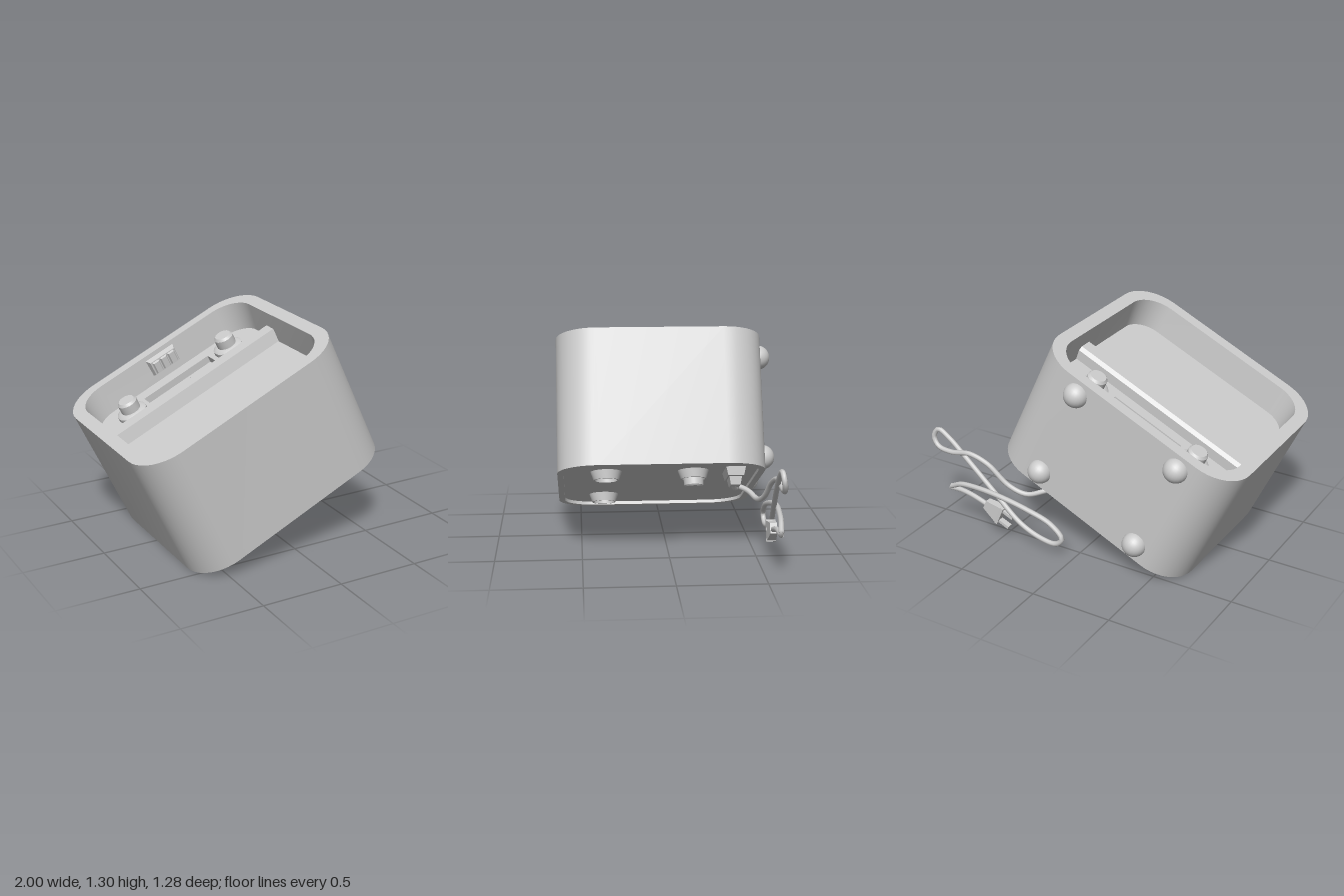
import * as THREE from 'three';
import { toCreasedNormals } from 'three/addons/utils/BufferGeometryUtils.js';

const mat = new THREE.MeshStandardMaterial({ color: 0xcccccc });

function add(parent, name, geo, x = 0, y = 0, z = 0) {
  const m = new THREE.Mesh(geo, mat);
  m.name = name;
  m.position.set(x, y, z);
  parent.add(m);
  return m;
}

// rounded rectangle in the x-z plane, running from +x towards +z
function roundedLoop(hx, z0, z1, r, n = 10) {
  const pts = [];
  const centres = [[hx - r, z1 - r], [r - hx, z1 - r], [r - hx, z0 + r], [hx - r, z0 + r]];
  centres.forEach(([cx, cz], k) => {
    for (let i = 0; i <= n; i++) {
      const t = (k + i / n) * Math.PI / 2;
      pts.push([cx + r * Math.cos(t), cz + r * Math.sin(t)]);
    }
  });
  return pts;
}

// skin through levels of [height, half width, z0, z1, corner radius]
function loft(levels) {
  const pos = [], idx = [];
  const loops = levels.map(([, ...a]) => roundedLoop(...a));
  const n = loops[0].length;
  loops.forEach((l, k) => l.forEach(([x, z]) => pos.push(x, levels[k][0], z)));
  for (let k = 0; k < loops.length - 1; k++) {
    for (let i = 0; i < n; i++) {
      const j = (i + 1) % n, p = k * n, q = p + n;
      idx.push(p + i, q + i, p + j, p + j, q + i, q + j);
    }
  }
  const g = new THREE.BufferGeometry();
  g.setAttribute('position', new THREE.Float32BufferAttribute(pos, 3));
  g.setIndex(idx);
  return toCreasedNormals(g, 0.5);
}

// turned part along y; sharp edges kept
function lathe(profile, seg = 28) {
  const g = new THREE.LatheGeometry(profile.map(p => new THREE.Vector2(...p)), seg);
  g.deleteAttribute('normal');
  g.deleteAttribute('uv');
  return toCreasedNormals(g, 0.5);
}

// block tapering from base (y = 0) to top (y = h)
function taperedBox(w, d, h, sx, sz) {
  const g = new THREE.BoxGeometry(w, h, d).translate(0, h / 2, 0).toNonIndexed();
  const p = g.attributes.position;
  for (let i = 0; i < p.count; i++) {
    if (p.getY(i) > h / 2) p.setXYZ(i, p.getX(i) * sx, h, p.getZ(i) * sz);
  }
  g.computeVertexNormals();
  return g;
}

export function createModel() {
  const root = new THREE.Group();
  root.name = 'tableRadio';
  const radio = new THREE.Group();
  radio.name = 'radio';
  radio.position.set(-0.22, 0.65, 0);
  radio.rotation.z = THREE.MathUtils.degToRad(25);
  root.add(radio);

  // cabinet: sunken back, outer wall, rim and face recess
  const T = 0.4025;
  add(radio, 'cabinet', loft([
    [-T + 0.02, 0.001, 0.034, 0.036, 0.0005],
    [-T + 0.02, 0.632, -0.53, 0.602, 0.2],
    [-T, 0.632, -0.53, 0.602, 0.2],
    [-T, 0.6735, -0.568, 0.638, 0.235],
    [T, 0.6735, -0.568, 0.638, 0.235],
    [T, 0.596, -0.5, 0.562, 0.18],
    [0.175, 0.573, -0.48, 0.537, 0.15],
    [0.175, 0.001, 0.034, 0.036, 0.0005],
  ]));

  // face panel with a dial opening
  const face = new THREE.Shape(roundedLoop(0.576, -0.483, 0.54, 0.15).map(([x, z]) => new THREE.Vector2(x, -z)));
  const hole = new THREE.Path();
  hole.moveTo(-0.24, 0.25).lineTo(0.24, 0.25).lineTo(0.24, 0.4).lineTo(-0.24, 0.4).closePath();
  face.holes.push(hole);
  const faceGeo = new THREE.ExtrudeGeometry(face, { depth: 0.044, bevelEnabled: false }).rotateX(-Math.PI / 2);
  add(radio, 'facePanel', faceGeo, 0, 0.176, 0);
  add(radio, 'dialNeedle', taperedBox(0.02, 0.012, 0.11, 0.3, 1).rotateX(-Math.PI / 2), 0.07, 0.185, -0.25);

  // divider bar across the face
  const bar = new THREE.Shape([[-0.18, 0.2], [-0.06, 0.2], [-0.06, 0.22], [-0.08, 0.3], [-0.16, 0.3], [-0.18, 0.28]]
    .map(p => new THREE.Vector2(...p)));
  add(radio, 'dividerBar', new THREE.ExtrudeGeometry(bar, { depth: 1.17, bevelEnabled: false })
    .translate(0, 0, -0.585).rotateY(-Math.PI / 2));

  // knobs
  const knob = lathe([[0.092, 0], [0.092, 0.022], [0.075, 0.034], [0.06, 0.036], [0.06, 0.09], [0.048, 0.105], [0, 0.105]]);
  for (const s of [-1, 1]) add(radio, 'knob', knob, s * 0.36, 0.22, -0.325);

  // ribbed switch on the recess wall
  add(radio, 'switchPlate', taperedBox(0.2, 0.11, 0.035, 0.88, 0.8).rotateX(Math.PI / 2), 0, 0.32, -0.497);
  for (let i = -1; i <= 1; i++) {
    add(radio, 'switchRib', taperedBox(0.05, 0.08, 0.016, 0.7, 0.85).rotateX(Math.PI / 2), i * 0.055, 0.32, -0.464);
  }

  // ball feet
  const ball = new THREE.SphereGeometry(0.073, 24, 16);
  for (const x of [-0.35, 0.35]) for (const y of [-0.305, 0.305]) add(radio, 'ballFoot', ball, x, y, -0.565);

  // hollow rings and control knob on the back
  const ring = lathe([[0.092, 0], [0.074, 0.05], [0.066, 0.05], [0.062, 0.01], [0, 0.01]]).rotateX(Math.PI);
  for (const [x, z] of [[-0.365, 0.355], [0.365, 0.355], [0.365, -0.155]]) add(radio, 'backRing', ring, x, -0.382, z);
  const backKnob = lathe([[0.062, 0], [0.056, 0.085], [0.048, 0.093], [0, 0.093]]).rotateX(Math.PI);
  add(radio, 'backKnob', backKnob, 0.365, -0.385, -0.155);

  // power inlet
  add(radio, 'inletBase', taperedBox(0.22, 0.115, 0.05, 0.85, 0.8).rotateX(Math.PI), 0.37, -0.382, -0.395);
  add(radio, 'inletPlug', taperedBox(0.14, 0.075, 0.05, 0.75, 0.75).rotateX(Math.PI), 0.37, -0.43, -0.395);

  // looping cord
  const path = [
    [0.31, 0.38, -0.39], [0.28, 0.35, -0.4], [0.225, 0.345, -0.43], [0.27, 0.33, -0.48], [0.36, 0.305, -0.52],
    [0.47, 0.345, -0.545], [0.6, 0.465, -0.57], [0.72, 0.51, -0.585], [0.85, 0.49, -0.59], [0.95, 0.505, -0.588],
    [0.985, 0.56, -0.58], [0.955, 0.61, -0.572], [0.88, 0.57, -0.57], [0.74, 0.455, -0.575], [0.55, 0.305, -0.59],
    [0.35, 0.15, -0.605], [0.2, 0.092, -0.607], [0.1, 0.087, -0.605], [0.062, 0.13, -0.602], [0.14, 0.205, -0.6],
    [0.3, 0.262, -0.61], [0.5, 0.3, -0.615], [0.67, 0.303, -0.605], [0.79, 0.288, -0.595], [0.85, 0.258, -0.587],
    [0.885, 0.24, -0.583], [0.8, 0.238, -0.58], [0.72, 0.225, -0.58], [0.6, 0.188, -0.58],
  ].map(p => new THREE.Vector3(...p));
  add(root, 'powerCord', new THREE.TubeGeometry(new THREE.CatmullRomCurve3(path), 150, 0.016, 8));

  // mains plug with two flat prongs
  const plug = new THREE.Group();
  plug.name = 'mainsPlug';
  plug.position.set(0.615, 0.2, -0.582);
  plug.rotation.z = Math.PI / 2 + Math.atan2(0.4, 0.91);
  root.add(plug);
  add(plug, 'plugBody', taperedBox(0.06, 0.04, 0.11, 2, 1.35));
  add(plug, 'plugFace', new THREE.BoxGeometry(0.125, 0.02, 0.055), 0, 0.115, 0);
  for (const s of [-1, 1]) add(plug, 'prong', new THREE.BoxGeometry(0.018, 0.075, 0.035), s * 0.04, 0.16, 0);

  return root;
}
